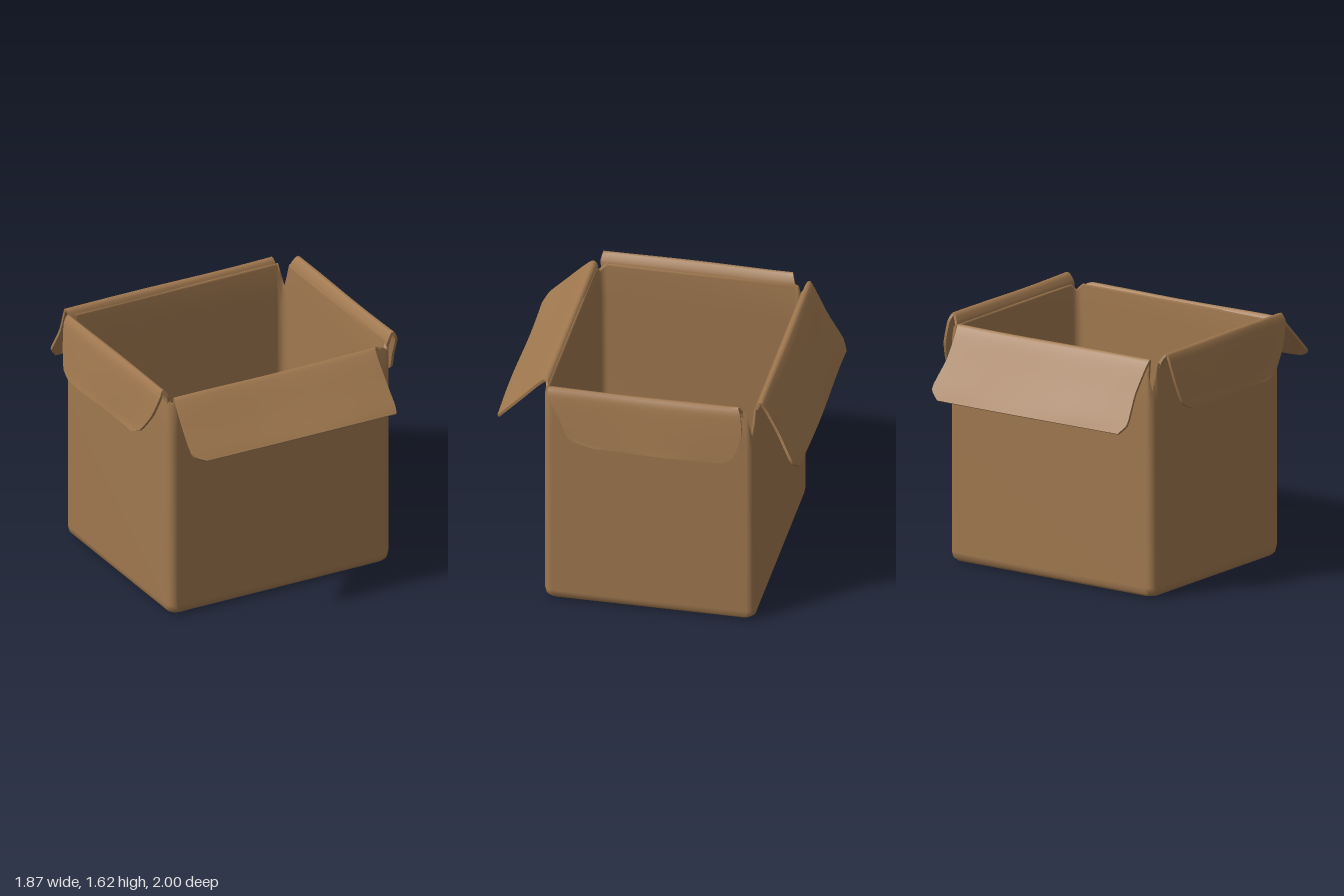
import * as THREE from 'three';

const cardboard = new THREE.MeshStandardMaterial({ color: 0xa0784f });
cardboard.name = 'cardboard brown';

// Box footprint, with slightly rounded vertical corners
const X = 0.81, Z = 0.69, ZC = -0.03, R = 0.055, STEPS = 4;

// Corners in order round the box, with how deep the rim is torn at each
const CORNERS = [
  { sx: 1, sz: 1, tear: 0.04 },
  { sx: -1, sz: 1, tear: 0.04 },
  { sx: -1, sz: -1, tear: 0.17 },
  { sx: 1, sz: -1, tear: 0.17 },
];

// One open shell: under the base, up the outside, over the rim, down the inside, across the floor
function makeShell() {
  const outline = [];
  CORNERS.forEach((c, k) => {
    for (let i = 0; i <= STEPS; i++) {
      const a = (k + i / STEPS) * Math.PI / 2;
      const dip = c.tear * Math.max(0, 1 - Math.abs(i / STEPS - 0.5) * 2);
      outline.push({ c, nx: Math.cos(a), nz: Math.sin(a), rim: 1.555 - dip });
    }
  });

  // [inset from the outer wall, height, measured down from the rim?]
  const rows = [
    [null, 0], [0.07, 0.003], [0.025, 0.01], [0.007, 0.03], [0, 0.07], [0, 1.3],
    [0, -0.012, true], [0.012, 0, true], [0.024, -0.012, true],
    [0.026, 1.3], [0.028, 0.12], [0.04, 0.06], [0.08, 0.03], [null, 0.025],
  ];
  const pos = [], index = [], n = outline.length;
  rows.forEach(([inset, h, fromRim], r) => {
    outline.forEach((p, i) => {
      if (inset === null) pos.push(0, h, ZC);
      else {
        pos.push(
          p.c.sx * (X - R) + p.nx * R - p.c.sx * inset,
          fromRim ? p.rim + h : h,
          ZC + p.c.sz * (Z - R) + p.nz * R - p.c.sz * inset);
      }
      if (r > 0) {
        const j = (i + 1) % n, a = (r - 1) * n, b = r * n;
        if (rows[r][0] !== null) index.push(a + i, b + i, b + j);
        if (rows[r - 1][0] !== null) index.push(a + i, b + j, a + j);
      }
    });
  });
  const g = new THREE.BufferGeometry();
  g.setAttribute('position', new THREE.Float32BufferAttribute(pos, 3));
  g.setIndex(index);
  g.computeVertexNormals();
  return g;
}

// A bent sheet; each row is [outward, height, start, end] from hinge to free edge
function makeFlap(rows, wave, phase) {
  const curve = (f) => new THREE.CatmullRomCurve3(rows.map(f), false, 'catmullrom', 0.3);
  const profile = curve((r) => new THREE.Vector3(r[0], r[1], 0));
  const ends = curve((r) => new THREE.Vector3(r[2], r[3], 0));
  const g = new THREE.BoxGeometry(1, 1, 1, 24, 20, 1);
  const p = g.attributes.position;
  for (let i = 0; i < p.count; i++) {
    const u = p.getX(i) + 0.5, v = 0.5 - p.getY(i), side = p.getZ(i) * 2;
    const c = profile.getPoint(v), t = profile.getTangent(v), e = ends.getPoint(v);
    const bump = wave * v * Math.sin(u * 7 + phase + v * 2);
    const off = side * 0.009 + bump;
    p.setXYZ(i,
      THREE.MathUtils.lerp(e.x, e.y, u),
      c.y + t.x * off + wave * Math.sin(u * 5 + phase) * 0.5,
      c.x - t.y * off);
  }
  g.computeVertexNormals();
  return g;
}

// Flaps are shaped facing forward, then turned to their side
const FLAPS = [
  { name: 'frontFlap', turn: 0, wave: 0.006, phase: 1, rows: [
    [0.645, 1.48, -0.77, 0.77], [0.65, 1.54, -0.78, 0.74], [0.675, 1.56, -0.79, 0.68],
    [0.74, 1.5, -0.8, 0.67], [0.84, 1.395, -0.81, 0.67], [0.955, 1.28, -0.81, 0.67],
    [0.99, 1.242, -0.73, 0.66]] },
  { name: 'backFlap', turn: Math.PI, wave: 0.006, phase: 3, rows: [
    [0.708, 1.44, -0.75, 0.77], [0.712, 1.54, -0.73, 0.78], [0.735, 1.585, -0.72, 0.8],
    [0.775, 1.53, -0.71, 0.79], [0.86, 1.375, -0.72, 0.77], [0.955, 1.205, -0.765, 0.78],
    [0.99, 1.14, -0.7, 0.73]] },
  { name: 'leftFlap', turn: Math.PI / 2, wave: 0.005, phase: 2, rows: [
    [0.795, 1.48, -0.61, 0.66], [0.808, 1.56, -0.63, 0.64], [0.842, 1.612, -0.62, 0.62],
    [0.868, 1.56, -0.62, 0.64], [0.892, 1.42, -0.54, 0.65], [0.913, 1.28, -0.47, 0.6],
    [0.921, 1.235, -0.3, 0.53]] },
  { name: 'rightFlap', turn: -Math.PI / 2, wave: 0.005, phase: 4, rows: [
    [0.795, 1.48, -0.66, 0.61], [0.808, 1.56, -0.64, 0.63], [0.842, 1.612, -0.62, 0.62],
    [0.868, 1.56, -0.62, 0.63], [0.892, 1.42, -0.59, 0.57], [0.914, 1.28, -0.54, 0.46],
    [0.924, 1.235, -0.46, 0.36]] },
];

export function createModel() {
  const model = new THREE.Group();
  model.name = 'openCardboardBox';

  const shell = new THREE.Mesh(makeShell(), cardboard);
  shell.name = 'boxBody';
  model.add(shell);

  for (const f of FLAPS) {
    const flap = new THREE.Mesh(makeFlap(f.rows, f.wave, f.phase), cardboard);
    flap.name = f.name;
    flap.rotation.y = f.turn;
    model.add(flap);
  }
  return model;
}
